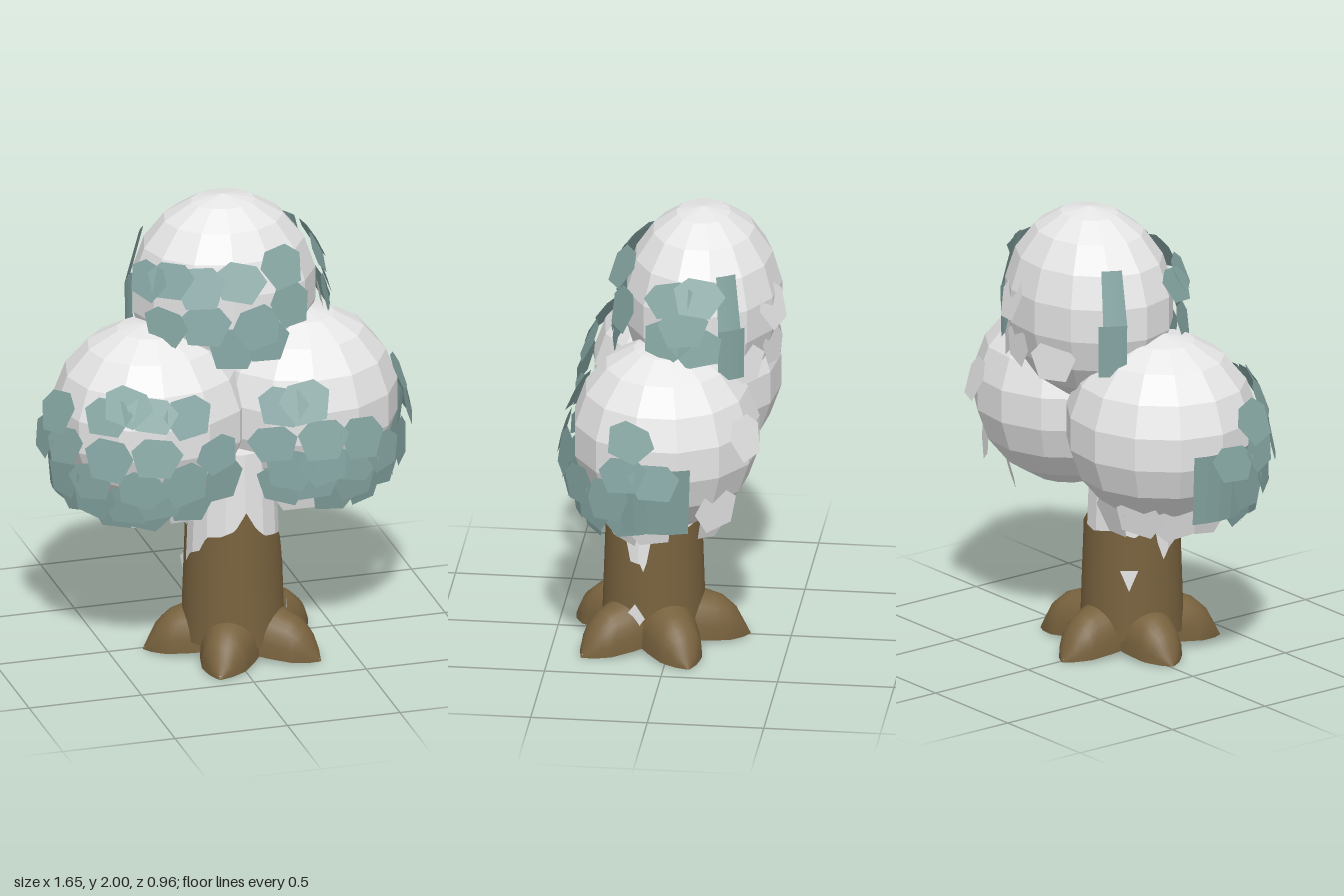
import * as THREE from 'three';

const D = THREE.MathUtils.degToRad;

export function createModel() {
  const tree = new THREE.Group();
  tree.name = 'tree';

  const paleWhite = new THREE.MeshStandardMaterial({ color: 0xe6e6e6, side: THREE.DoubleSide, flatShading: true });
  paleWhite.name = 'paleWhite';
  const leafTeal = new THREE.MeshStandardMaterial({ color: 0x84a4a1, side: THREE.DoubleSide, flatShading: true });
  leafTeal.name = 'leafTeal';
  const barkBrown = new THREE.MeshStandardMaterial({ color: 0x78623e, side: THREE.DoubleSide });
  barkBrown.name = 'barkBrown';

  const add = (name, geometry, material, parent = tree) => {
    const mesh = new THREE.Mesh(geometry, material);
    mesh.name = name;
    parent.add(mesh);
    return mesh;
  };

  // Bends a unit plane into a surface: f(u, v) gives [x, y, z]
  const surface = (nu, nv, f) => {
    const g = new THREE.PlaneGeometry(1, 1, nu, nv);
    const p = g.attributes.position;
    for (let i = 0; i < p.count; i++) p.setXYZ(i, ...f(p.getX(i) + 0.5, p.getY(i) + 0.5));
    g.computeVertexNormals();
    return g;
  };

  // Reads a value from a list of [position, value] stops
  const along = (stops, t) => {
    const i = Math.max(1, stops.findIndex((s) => s[0] >= t));
    const [a, b] = [stops[i - 1], stops[i]];
    return THREE.MathUtils.lerp(a[1], b[1], (t - a[0]) / (b[0] - a[0]));
  };

  // Trunk: pale core with a bark shell that has a ragged upper edge
  const trunkX = 0.03, trunkZ = 0.085;
  const core = add('trunkCore', new THREE.CylinderGeometry(0.18, 0.212, 0.86, 14), paleWhite);
  core.position.set(trunkX, 0.52, trunkZ);

  const barkEdge = [[-180, 0.54], [-150, 0.56], [-125, 0.53], [-112, 0.56], [-104, 0.67], [-96, 0.5], [-88, 0.42],
    [-78, 0.47], [-60, 0.5], [-50, 0.57], [-32, 0.58], [-14, 0.61], [0, 0.69], [13, 0.61], [25, 0.57], [57, 0.55],
    [63, 0.5], [66, 0.41], [80, 0.4], [86, 0.35], [90, 0.47], [95, 0.52], [104, 0.69], [113, 0.56], [130, 0.54],
    [155, 0.56], [180, 0.54]];
  const bark = add('trunkBark', surface(90, 5, (u, v) => {
    const a = u * 360 - 180;
    const y = 0.07 + v * (along(barkEdge, a) - 0.07);
    const r = 0.224 - 0.034 * y;
    return [r * Math.sin(D(a)), y, r * Math.cos(D(a))];
  }), barkBrown);
  bark.position.set(trunkX, 0, trunkZ);

  // Small bare patches in the bark
  [[76, 0.16, 4], [-131, 0.36, 3]].forEach(([a, y, sides]) => {
    const patch = add('barePatch', new THREE.CircleGeometry(0.045, sides, -Math.PI / 2), paleWhite);
    patch.scale.y = 1.4;
    patch.position.set(trunkX + 0.23 * Math.sin(D(a)), y, trunkZ + 0.23 * Math.cos(D(a)));
    patch.rotation.y = D(a);
  });

  // Five pointed roots with pale undersides
  const rootHeight = [[0, 0.21], [0.35, 0.185], [0.6, 0.165], [0.8, 0.115], [1, 0.0]];
  const rootWidth = [[0, 0.14], [0.4, 0.12], [0.7, 0.095], [0.88, 0.055], [1, 0.004]];
  const rootGeo = surface(12, 10, (u, v) => {
    const a = Math.PI * u;
    const lift = 0.03 * (1 - v);
    return [-along(rootWidth, v) * Math.cos(a), lift + along(rootHeight, v) * Math.pow(Math.sin(a), 0.8), 0.1 + 0.305 * v];
  });
  // Shallow pale floor inside each root
  const floorGeo = surface(2, 6, (u, v) =>
    [(u - 0.5) * 1.8 * along(rootWidth, v), 0.03 * (1 - v) + 0.012 + 0.06 * (1 - Math.abs(2 * u - 1)) * (1 - v), 0.06 + 0.34 * v]);
  for (let i = 0; i < 5; i++) {
    const root = new THREE.Group();
    root.name = 'root';
    root.position.set(0.052, 0, 0.075);
    root.rotation.y = D(72 * i - 27);
    add('rootBark', rootGeo, barkBrown, root);
    add('rootUnderside', floorGeo, paleWhite, root);
    tree.add(root);
  }

  // Crown: three faceted foliage masses
  const masses = {
    right: { c: [-0.305, 1.08, -0.015], r: [0.43, 0.415, 0.41] },
    left: { c: [0.36, 1.08, -0.005], r: [0.42, 0.415, 0.405] },
    top: { c: [0.05, 1.575, -0.13], r: [0.405, 0.425, 0.34] },
  };
  for (const [side, m] of Object.entries(masses)) {
    const mass = add(side + 'Foliage', new THREE.SphereGeometry(1, 13, 9), paleWhite);
    mass.position.set(...m.c);
    mass.scale.set(...m.r);
  }

  // Overlapping six-sided leaves; az runs from the front (+z) towards +x
  const leafGeo = new THREE.ShapeGeometry(new THREE.Shape(
    [[-0.108, 0.035], [-0.05, 0.088], [0.064, 0.08], [0.116, 0.02], [0.058, -0.084], [-0.075, -0.076]]
      .map(([x, y]) => new THREE.Vector2(x, y))));
  let count = 0;
  const leaf = (m, az, y, material, lift) => {
    const k = count++;
    const dy = (y - m.c[1]) / m.r[1];
    const h = Math.sqrt(Math.max(0.1, 1 - (dy * 0.85) ** 2)) * lift;
    const mesh = add(material === leafTeal ? 'leaf' : 'paleLeaf', leafGeo, material);
    mesh.position.set(m.c[0] + m.r[0] * h * Math.sin(D(az)), y, m.c[2] + m.r[2] * h * Math.cos(D(az)));
    mesh.rotation.order = 'YXZ';
    mesh.rotation.set(-0.5 * Math.asin(THREE.MathUtils.clamp(dy, -1, 1)) - 0.28, D(az), 0.22 * Math.sin(k * 2.3));
    mesh.scale.set(k % 2 ? -1 : 1, 0.98 + 0.1 * Math.sin(k * 1.7), 1);
  };
  // Each row: height, lift off the surface, then the angles
  const rows = (m, material, sign, list) => list.forEach(([y, lift, ...angles]) =>
    angles.forEach((a, i) => leaf(m, a * sign, y + 0.02 * ((i % 2) - 0.5), material, lift)));

  rows(masses.left, leafTeal, 1, [[1.2, 1.02, -27, -13, 74], [1.04, 1.09, -31, -4, 19, 72, 90],
    [0.92, 1.11, -22, -3, 17, 36, 60], [0.83, 1.12, -28, -8, 19, 46, 70], [0.76, 1.12, 8, 32]]);
  rows(masses.right, leafTeal, -1, [[1.22, 1.05, -6, 15, 41], [1.2, 1.15, 72], [1.27, 1.04, 30],
    [1.04, 1.12, -21, 13, 38, 66, 88], [0.9, 1.13, -28, -3, 21, 50, 72],
    [0.81, 1.14, -9, 10, 30, 52, 72], [0.75, 1.12, 20, 42]]);
  rows(masses.top, leafTeal, 1, [[1.78, 1.14, 23], [1.72, 1.12, -62, -46, -27, -4], [1.73, 1.06, 73, 94],
    [1.6, 1.08, 28, 84], [1.53, 1.1, -48, -24, 6, 72, 94], [1.44, 1.13, -8, 11]]);

  // Pale leaves beneath the crown and a few at the back
  rows(masses.left, paleWhite, 1, [[0.73, 0.9, -20, 18, 48, 80, 150], [0.84, 1, 135], [1.15, 1.0, 155]]);
  rows(masses.right, paleWhite, -1, [[0.73, 0.9, -20, 18, 48, 80, 115, 150, 185]]);
  rows(masses.top, paleWhite, 1, [[1.4, 1.0, 130, 165, 200], [1.62, 0.99, 160], [1.5, 1.06, 80]]);

  // Teal side panels: h0 and h1 set how far the lower and upper edges stand out
  const panel = (m, a0, a1, y0, y1, h0, h1) => add('sidePanel', surface(5, 4, (u, v) => {
    const a = D(a0 + (a1 - a0) * u);
    const h = h0 + (h1 - h0) * v;
    return [m.c[0] + m.r[0] * h * Math.sin(a), y0 + (y1 - y0) * v, m.c[2] + m.r[2] * h * Math.cos(a)];
  }), leafTeal);
  panel(masses.left, 68, 111, 0.77, 1.08, 0.95, 1.04);
  panel(masses.right, -111, -68, 0.77, 1.08, 1.0, 1.06);
  for (const s of [1, -1]) {
    panel(masses.top, 108 * s, 127 * s, 1.36, 1.59, 1.04, 1.05);
    panel(masses.top, 108 * s, 124 * s, 1.59, 1.82, 1.05, 0.9);
  }

  return tree;
}
